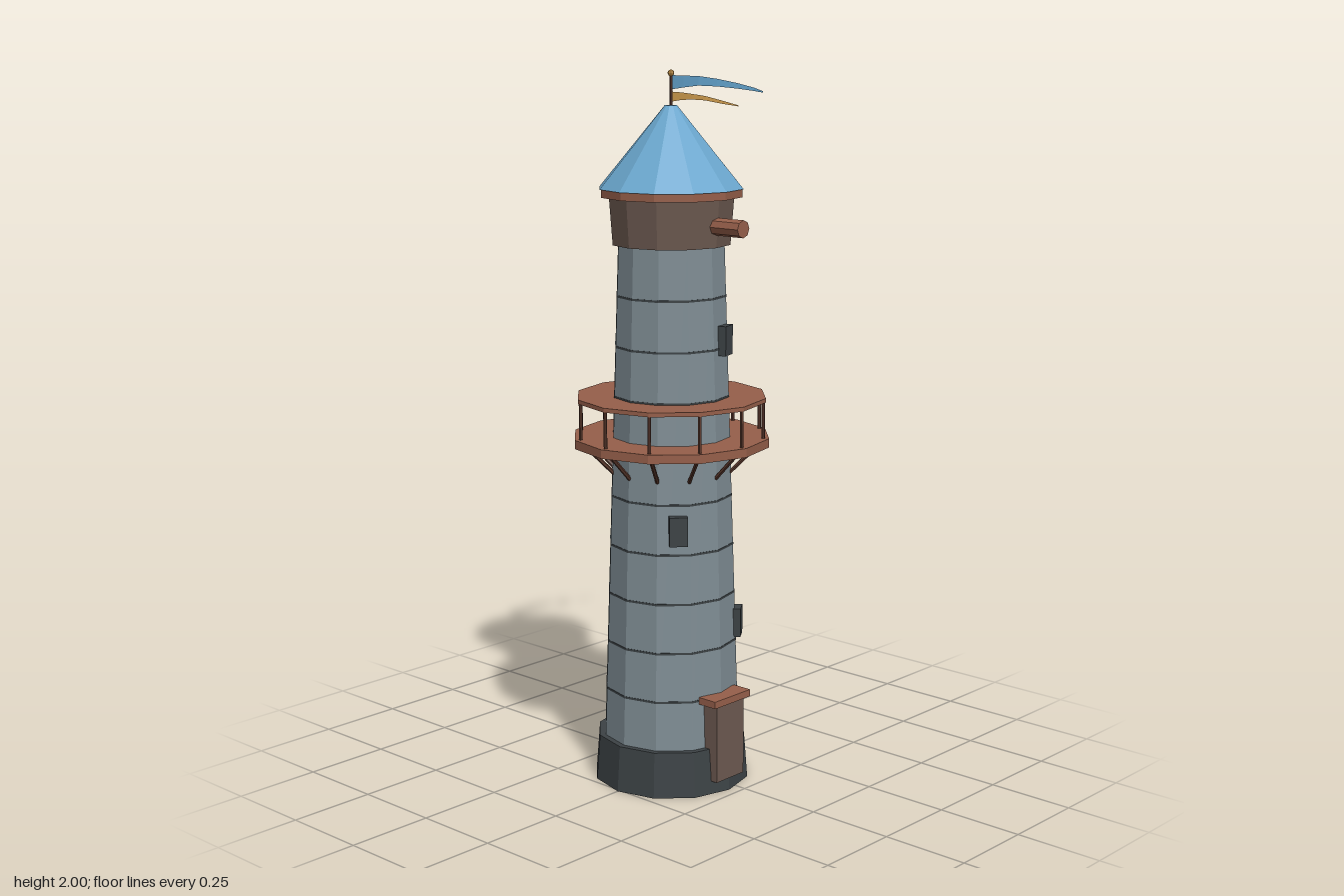
import * as THREE from 'three';

const material = (name, color, extra = {}) =>
  Object.assign(new THREE.MeshStandardMaterial({ color, flatShading: true, ...extra }), { name });

export function createModel() {
  const model = new THREE.Group();
  model.name = 'watchtower';
  const tower = new THREE.Group();
  tower.name = 'tower';
  tower.position.x = -0.035;
  model.add(tower);

  const stone = material('grey stone', 0x7f8d94);
  const darkStone = material('dark stone', 0x3c4245);
  const wood = material('red wood', 0x965f4a);
  const darkWood = material('brown wood', 0x6c5950);
  const beamWood = material('dark timber', 0x5a382c);
  const blue = material('blue', 0x6ba7ce);
  const gold = material('gold', 0xc8964a);
  const blueCloth = material('blue cloth', 0x5f9cc4, { side: THREE.DoubleSide });
  const goldCloth = material('gold cloth', 0xc8964a, { side: THREE.DoubleSide });

  const add = (name, geometry, mat, x = 0, y = 0, z = 0) => {
    const mesh = new THREE.Mesh(geometry, mat);
    mesh.name = name;
    mesh.position.set(x, y, z);
    tower.add(mesh);
    return mesh;
  };
  // Upright twelve-sided drum between two heights
  const drum = (name, y0, y1, r0, r1, mat, sides = 12) =>
    add(name, new THREE.CylinderGeometry(r1, r0, y1 - y0, sides), mat, 0, (y0 + y1) / 2, 0);
  // Thin round bar between two points
  const bar = (name, a, b, radius, mat, sides = 6) => {
    const dir = b.clone().sub(a);
    const mesh = add(name, new THREE.CylinderGeometry(radius, radius, dir.length(), sides), mat);
    mesh.position.copy(a).add(b).multiplyScalar(0.5);
    mesh.quaternion.setFromUnitVectors(new THREE.Vector3(0, 1, 0), dir.normalize());
    return mesh;
  };
  const polar = (angle, r, y) => new THREE.Vector3(Math.sin(angle) * r, y, Math.cos(angle) * r);

  // Base and tapering shaft with thin joints between the courses
  const shaftRadius = y => 0.196 - 0.046 * (y - 0.13) / 1.4;
  drum('base', 0, 0.13, 0.223, 0.213, darkStone);
  drum('shaft', 0.13, 1.53, shaftRadius(0.13), shaftRadius(1.53), stone);
  for (let i = 1; i < 10; i++) {
    const y = 0.13 + i * 0.14, r = shaftRadius(y) + 0.001;
    drum('stoneJoint', y - 0.003, y + 0.003, r, r, darkStone);
  }

  // Door
  add('door', new THREE.BoxGeometry(0.113, 0.23, 0.055), darkWood, 0, 0.152, 0.198);
  add('doorLintel', new THREE.BoxGeometry(0.148, 0.02, 0.06), wood, 0, 0.271, 0.204);

  // Windows: angle round the shaft in degrees, height
  for (const [deg, y] of [[19, 1.272], [-41, 0.76], [34.5, 0.46]]) {
    const a = THREE.MathUtils.degToRad(deg), p = polar(a, shaftRadius(y) + 0.003, y);
    add('window', new THREE.BoxGeometry(0.05, 0.082, 0.025), darkStone, p.x, p.y, p.z).rotation.y = a;
  }

  // Balcony: floor, posts, braces and the covering rail
  drum('balconyFloor', 0.97, 0.995, 0.278, 0.278, wood);
  drum('balconyRail', 1.096, 1.108, 0.268, 0.268, wood);
  for (let i = 0; i < 12; i++) {
    const a = i * Math.PI / 6;
    bar('railPost', polar(a, 0.261, 0.99), polar(a, 0.261, 1.1), 0.005, beamWood);
    bar('balconyBrace', polar(a, 0.243, 0.972), polar(a, 0.153, 0.88), 0.006, beamWood);
  }

  // Head, eaves and roof
  drum('head', 1.53, 1.662, 0.166, 0.176, darkWood);
  drum('eaves', 1.66, 1.682, 0.198, 0.198, wood);
  drum('roof', 1.682, 1.905, 0.202, 0.017, blue);

  // Projecting hoist beam
  bar('hoistBeam', new THREE.Vector3(0, 1.588, 0.14), new THREE.Vector3(0, 1.588, 0.262), 0.024, wood, 8);

  // Flagpole and finial
  drum('flagpole', 1.9, 1.99, 0.004, 0.004, beamWood, 6);
  add('finial', new THREE.SphereGeometry(0.009, 8, 6), gold, 0, 1.991, 0);

  // Streamers: rows of x, top, bottom, z swept into a ribbon
  const streamer = (name, rows, mat) => {
    const positions = [], index = [];
    rows.forEach(([x, top, bottom, z], i) => {
      positions.push(x, top, z, x, bottom, z);
      if (i) {
        const k = 2 * i;
        index.push(k - 2, k - 1, k, k, k - 1, k + 1);
      }
    });
    const geometry = new THREE.BufferGeometry();
    geometry.setAttribute('position', new THREE.Float32BufferAttribute(positions, 3));
    geometry.setIndex(index);
    geometry.computeVertexNormals();
    add(name, geometry, mat);
  };
  streamer('upperStreamer', [
    [0, 1.985, 1.947, 0], [0.06, 1.982, 1.95, -0.009], [0.125, 1.979, 1.953, -0.013],
    [0.19, 1.97, 1.949, -0.002], [0.25, 1.957, 1.942, 0.021], [0.305, 1.943, 1.934, 0.036],
    [0.348, 1.932, 1.928, 0.03],
  ], blueCloth);
  streamer('lowerStreamer', [
    [0, 1.941, 1.914, 0], [0.05, 1.937, 1.917, -0.006], [0.1, 1.931, 1.916, -0.012],
    [0.15, 1.924, 1.912, -0.01], [0.2, 1.911, 1.902, 0.004], [0.252, 1.896, 1.893, 0.022],
  ], goldCloth);

  return model;
}
